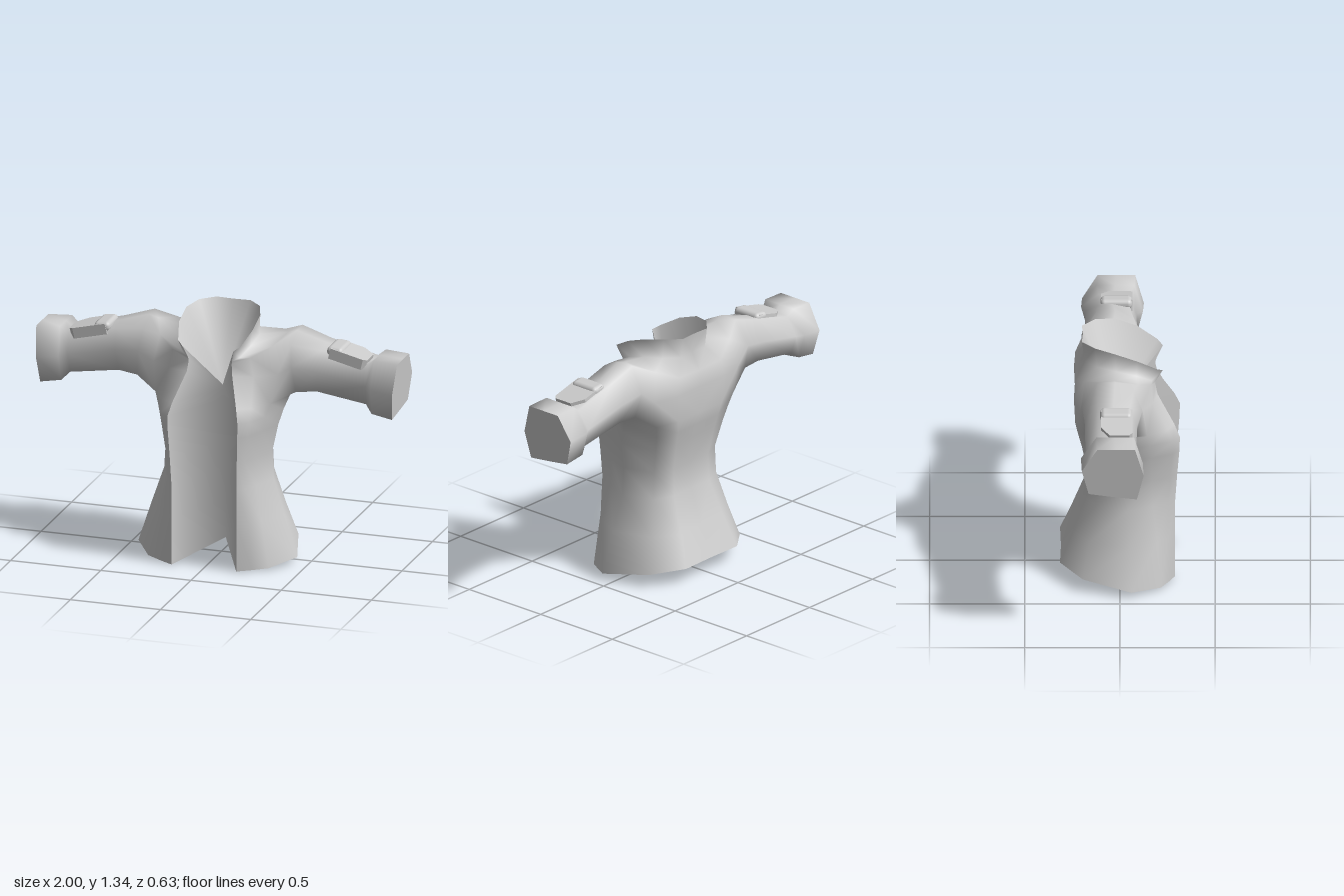
import * as THREE from 'three';
import { mergeVertices } from 'three/addons/utils/BufferGeometryUtils.js';
import { RoundedBoxGeometry } from 'three/addons/geometries/RoundedBoxGeometry.js';

const V = (x, y, z) => new THREE.Vector3(x, y, z);

// Smooth surface from polygons on the +x half, mirrored to -x.
function mirroredShell(polys) {
  const pos = [];
  const tri = (a, b, c) => {
    const area = b.clone().sub(a).cross(c.clone().sub(a)).length();
    if (area > 1e-7) for (const p of [a, b, c]) pos.push(p.x, p.y, p.z);
  };
  const flip = (p) => V(-p.x, p.y, p.z);
  for (const p of polys) {
    for (let i = 1; i < p.length - 1; i++) {
      tri(p[0], p[i], p[i + 1]);
      tri(flip(p[0]), flip(p[i + 1]), flip(p[i]));
    }
  }
  const g = new THREE.BufferGeometry();
  g.setAttribute('position', new THREE.Float32BufferAttribute(pos, 3));
  const merged = mergeVertices(g, 1e-4);
  merged.computeVertexNormals();
  return merged;
}

// Top of the front notch, where its walls meet the collar lining
const NOTCH = V(0, 0.92, -0.02);

// Half cross-section from centre back (column 0) round to the lapel edge (column 6).
function torsoRow([height, zBack, width, zFront, zSide, backCorner, frontWide, frontDeep]) {
  const lapelX = 0.58 * (zFront - NOTCH.z);
  const outline = [
    [0, zBack + 0.005], [0.46 * width, zBack], [0.82 * width, backCorner * zBack], [width, zSide],
    [frontWide * width, frontDeep * zFront], [(lapelX + frontWide * width) / 2, 0.88 * zFront], [lapelX, zFront],
  ];
  return outline.map(([x, z], c) => V(x, typeof height === 'function' ? height(z, c) : height, z));
}

export function createModel() {
  const group = new THREE.Group();
  group.name = 'jacket';
  const cloth = new THREE.MeshStandardMaterial({ color: 0xcccccc });
  cloth.name = 'grey cloth';
  const add = (name, geometry) => {
    const mesh = new THREE.Mesh(geometry, cloth);
    mesh.name = name;
    group.add(mesh);
    return mesh;
  };

  // Torso rows: height, back z, half width, front z, side z, back corner depth, front corner width and depth
  const shoulderLift = [0, 0.01, 0.07, 0.108, 0.06, 0.01, -0.03];
  const rows = [
    [(z) => 0.045 - 0.15 * z, -0.315, 0.44, 0.29, 0.06, 0.62, 0.76, 0.74],
    [0.26, -0.248, 0.368, 0.29, 0.05, 0.65, 0.78, 0.68],
    [0.45, -0.177, 0.304, 0.29, 0.04, 0.72, 0.82, 0.6],
    [0.6, -0.17, 0.295, 0.3, 0.04, 0.74, 0.84, 0.56],
    [0.75, -0.2, 0.325, 0.312, 0.03, 0.8, 0.86, 0.53],
    [0.83, -0.22, 0.345, 0.315, 0.0, 0.82, 0.86, 0.5],
    [0.9, -0.235, 0.37, 0.285, -0.03, 0.84, 0.86, 0.5],
    [1.05, -0.242, 0.4, 0.197, -0.03, 0.87, 0.86, 0.5],
    [(z, c) => 1.14 + shoulderLift[c], -0.235, 0.36, 0.185, -0.03, 0.78, 0.86, 0.5],
    [(z) => 1.23 - 1.2 * Math.max(0, z + 0.1) ** 2, -0.185, 0.205, 0.19, -0.02, 0.65, 0.93, 0.45],
    [(z) => 1.34 - Math.max(0, z + 0.15) ** 2, -0.2, 0.205, 0.225, -0.03, 0.65, 1.0, 0.4],
  ].map(torsoRow);

  // Body cloth, leaving an armhole at the side
  const body = [];
  for (let r = 0; r < rows.length - 1; r++) {
    for (let c = 0; c < 6; c++) {
      const inArmhole = (r === 6 || r === 7) && (c === 2 || c === 3);
      if (!inArmhole) body.push([rows[r][c], rows[r + 1][c], rows[r + 1][c + 1], rows[r][c + 1]]);
    }
  }

  // Sleeve rings: x top, x bottom, y top, y bottom, z back, z front, drop of the top front corner
  const section = [[0.11, 0.11], [0.5, 0.05], [0.89, 0], [1, 0.48], [0.86, 1], [0.55, 1], [0.25, 1], [0, 0.57]];
  const sleeve = [
    [0.41, 0.44, 1.264, 0.96, -0.2, 0.118, 0.05],
    [0.57, 0.55, 1.212, 0.967, -0.185, 0.09, 0.02],
    [0.83, 0.82, 1.145, 0.925, -0.18, 0.085, 0],
    [0.87, 0.86, 1.177, 0.885, -0.205, 0.12, 0],
    [1.0, 0.975, 1.17, 0.865, -0.2, 0.125, 0],
  ].map(([xt, xb, yt, yb, zb, zf, drop]) => section.map(([u, v], j) =>
    V(xb + (xt - xb) * v, yb + (yt - yb) * v - (j === 4 ? drop : 0), zb + (zf - zb) * u)));
  const armhole = [[6, 2], [6, 3], [6, 4], [7, 4], [8, 4], [8, 3], [8, 2], [7, 2]].map(([r, c]) => rows[r][c]);
  const rings = [armhole, ...sleeve];
  for (let i = 0; i < rings.length - 1; i++) {
    for (let j = 0; j < 8; j++) {
      const k = (j + 1) % 8;
      body.push([rings[i][j], rings[i + 1][j], rings[i + 1][k], rings[i][k]]);
    }
  }
  add('bodyAndSleeves', mirroredShell(body));

  // Flat cuff ends
  add('cuffEnds', mirroredShell([[...sleeve[4]].reverse()]));

  // Walls of the open front, meeting on a line that leans back towards the hem
  const hemApex = V(0, 0.056, -0.07);
  const apex = (r) => hemApex.clone().lerp(NOTCH,
    r === 0 ? 0 : Math.min(1, (rows[r][6].y - hemApex.y) / (NOTCH.y - hemApex.y)));
  const walls = [];
  for (let r = 0; r < rows.length - 1; r++) {
    walls.push([apex(r), rows[r][6], rows[r + 1][6], apex(r + 1)]);
  }
  add('frontOpening', mirroredShell(walls));

  // Collar lining and hem underside
  const rim = rows[rows.length - 1];
  const lining = [], underside = [];
  for (let c = 0; c < 6; c++) {
    lining.push([NOTCH, rim[c + 1], rim[c]]);
    underside.push([hemApex, rows[0][c], rows[0][c + 1]]);
  }
  add('collarLining', mirroredShell(lining));
  add('hemUnderside', mirroredShell(underside));

  // Sleeve pockets with a rounded flap
  for (const side of [1, -1]) {
    const label = side > 0 ? 'left' : 'right';
    const outline = [[-0.09, 0.08], [0.05, 0.08], [0.115, 0.035], [0.115, -0.07], [0.095, -0.086], [-0.09, -0.086]];
    const shape = new THREE.Shape(outline.map(([x, y]) => new THREE.Vector2(x * side, y)));
    const slab = new THREE.ExtrudeGeometry(shape, { depth: 0.058, bevelEnabled: false });
    slab.rotateX(-Math.PI / 2);
    const pocket = add(label + 'SleevePocket', slab);
    pocket.position.set(0.7 * side, 1.138, -0.02);
    pocket.rotation.z = -0.24 * side;
    const flap = add(label + 'PocketFlap', new RoundedBoxGeometry(0.09, 0.054, 0.168, 2, 0.024));
    flap.position.set(0.645 * side, 1.193, -0.02);
    flap.rotation.z = -0.1 * side;
  }
  return group;
}
